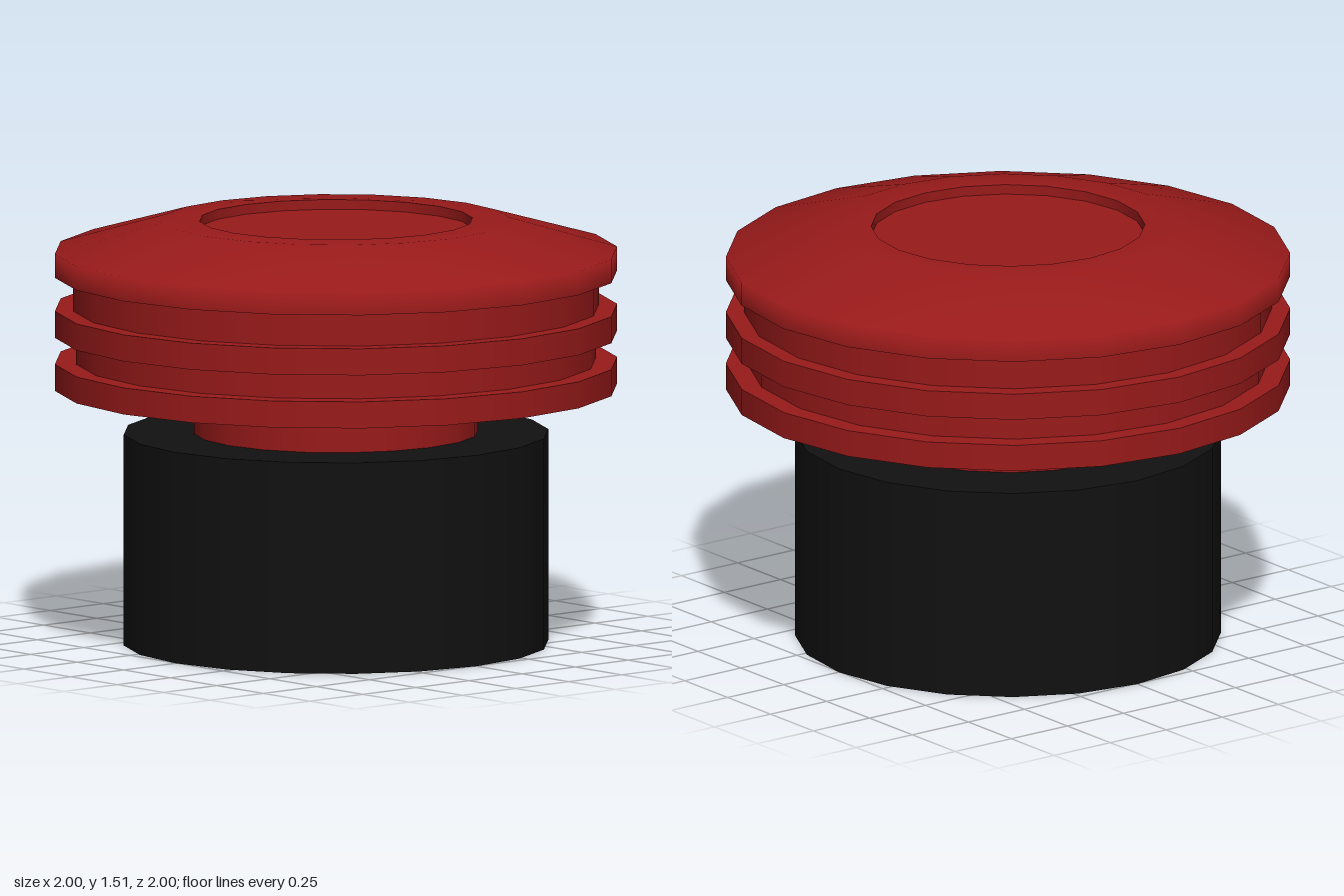
import * as THREE from 'three';
import { mergeGeometries } from 'three/addons/utils/BufferGeometryUtils.js';

const SIDES = 20;
const red = new THREE.MeshStandardMaterial({ color: 0x991a1a });
const black = new THREE.MeshStandardMaterial({ color: 0x111111 });

// Turns each strip of [radius, height] points; edges are sharp between strips, smooth within one
function turned(name, strips, material) {
  const parts = strips.map((strip) =>
    new THREE.LatheGeometry(strip.map(([r, y]) => new THREE.Vector2(r, y)), SIDES));
  const mesh = new THREE.Mesh(mergeGeometries(parts), material);
  mesh.name = name;
  return mesh;
}

// Splits a profile into one sharp strip per segment
const sharp = (points) => points.slice(1).map((p, i) => [points[i], p]);

export function createModel() {
  const group = new THREE.Group();
  group.name = 'pushButton';

  // Black cylindrical base
  group.add(turned('base', sharp([[0, 0], [0.755, 0], [0.755, 0.755], [0, 0.755]]), black));

  // Narrow stem between base and cap
  group.add(turned('stem', [[[0.505, 0.74], [0.505, 0.93]]], red));

  // Cap: two grooves in the rim, a smooth shoulder and a shallow recess on top
  group.add(turned('cap', [
    ...sharp([
      [0, 0.915], [1, 0.915], [1, 1.01],
      [0.925, 1.01], [0.925, 1.105], [1, 1.105], [1, 1.2],
      [0.935, 1.2], [0.935, 1.32], [1, 1.32],
    ]),
    [[1, 1.32], [1, 1.405], [0.615, 1.515], [0.485, 1.515]],
    ...sharp([[0.485, 1.515], [0.485, 1.48], [0, 1.48]]),
  ], red));

  return group;
}
